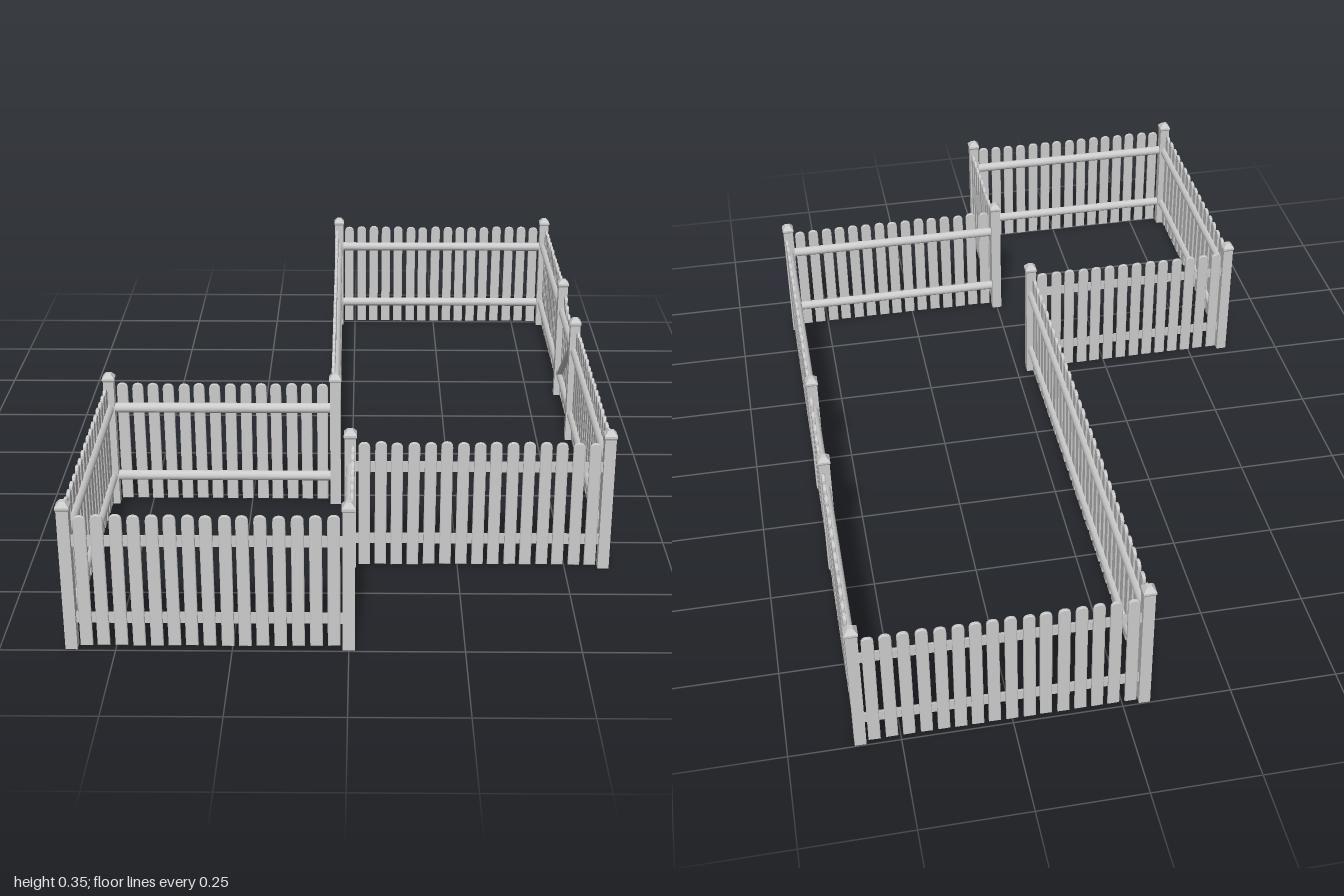
import * as THREE from 'three';

const material = new THREE.MeshStandardMaterial({ color: 0xcccccc, roughness: 0.9 });
const flatMaterial = new THREE.MeshStandardMaterial({ color: 0xcccccc, roughness: 0.9, flatShading: true });

// Fence corners and gate posts [x, z], walked so that pickets face outwards
const POSTS = [
  [-0.595, 0.983], [0, 0.983], [0, 0.617], [0.59, 0.617], [0.59, -0.105],
  [0.59, -0.415], [0.59, -0.985], [-0.05, -0.985], [-0.04, 0.288], [-0.595, 0.288],
];
const GATE = 4;
const POST_W = 0.026, RAIL_H = 0.026;
const PICKET_W = 0.027, PICKET_Y = 0.008, PICKET_TOP = 0.32, PITCH = 0.0385;
const RAIL_HEIGHTS = [0.073, 0.257];

let seed = 7;
function rand() {
  seed = (seed * 16807) % 2147483647;
  return seed / 2147483647 - 0.5;
}

function add(parent, name, geometry, mat, x, y, z) {
  const mesh = new THREE.Mesh(geometry, mat);
  mesh.name = name;
  mesh.position.set(x, y, z);
  parent.add(mesh);
  return mesh;
}

// Board with a rounded top, slightly bevelled; centred in x and z, standing on y = 0
function picketGeometry(height) {
  const bevel = 0.0015, w = PICKET_W / 2 - bevel, h = height - bevel, r = 0.012;
  const s = new THREE.Shape();
  s.moveTo(-w, bevel);
  s.lineTo(w, bevel);
  s.lineTo(w, h - r);
  s.bezierCurveTo(w, h - r * 0.35, w * 0.65, h, 0, h);
  s.bezierCurveTo(-w * 0.65, h, -w, h - r * 0.35, -w, h - r);
  s.closePath();
  const g = new THREE.ExtrudeGeometry(s, {
    depth: 0.005, curveSegments: 4, bevelEnabled: true,
    bevelSize: bevel, bevelThickness: bevel, bevelSegments: 1,
  });
  return g.translate(0, 0, -0.0025);
}

// Half-round rail along x, flat side towards +z
function railGeometry(length) {
  const r = RAIL_H / 2, s = new THREE.Shape();
  s.absarc(0, 0, r, Math.PI / 2, Math.PI * 1.5, false);
  s.closePath();
  const g = new THREE.ExtrudeGeometry(s, { depth: length, curveSegments: 8, bevelEnabled: false });
  // profile x becomes z, extrusion becomes x
  return g.translate(0, 0, -length / 2).rotateY(-Math.PI / 2).rotateX(0).scale(-1, 1, 1).scale(-1, 1, 1);
}

// Square post with an overhanging, shallow pyramid cap
function createPost(x, z) {
  const post = new THREE.Group();
  post.name = 'post';
  post.position.set(x, 0, z);
  add(post, 'postShaft', new THREE.BoxGeometry(POST_W, 0.332, POST_W), flatMaterial, 0, 0.166, 0);
  const square = (top, bottom, h) =>
    new THREE.CylinderGeometry(top * Math.SQRT1_2, bottom * Math.SQRT1_2, h, 4).rotateY(Math.PI / 4);
  add(post, 'capUnderside', square(0.03, POST_W, 0.004), flatMaterial, 0, 0.332, 0);
  add(post, 'capSlab', square(0.03, 0.03, 0.005), flatMaterial, 0, 0.3365, 0);
  add(post, 'capTop', square(0.012, 0.03, 0.011), flatMaterial, 0, 0.3445, 0);
  return post;
}

// Panel from post a to post b; local x runs along it, local +z is the outside
function createPanel(a, b, isGate) {
  const dx = b[0] - a[0], dz = b[1] - a[1], length = Math.hypot(dx, dz);
  const panel = new THREE.Group();
  panel.name = isGate ? 'gate' : 'fencePanel';
  panel.position.set((a[0] + b[0]) / 2, 0, (a[1] + b[1]) / 2);
  panel.rotation.y = Math.atan2(-dz, dx);

  const clear = length - POST_W - (isGate ? 0.008 : 0);
  const count = Math.round(clear / PITCH), pitch = clear / count;
  for (let i = 0; i < count; i++) {
    const x = (i + 0.5) * pitch - clear / 2;
    const u = (2 * x) / clear;
    // gate tops sag in the middle
    const top = PICKET_TOP - (isGate ? 0.035 * (1 - u * u) : 0) + rand() * 0.003;
    const picket = add(panel, 'picket', picketGeometry(top - PICKET_Y), material,
      x + rand() * 0.002, PICKET_Y + rand() * 0.002, 0.006);
    picket.rotation.z = rand() * 0.008;
    picket.rotation.y = rand() * 0.06;
  }

  const railLength = isGate ? clear : length - POST_W * 0.8;
  for (const y of RAIL_HEIGHTS) add(panel, 'rail', railGeometry(railLength), material, 0, y, 0.003);

  // diagonal brace on the inside of the gate
  if (isGate) {
    const rise = RAIL_HEIGHTS[0] - RAIL_HEIGHTS[1], run = clear - 0.03;
    const brace = add(panel, 'gateBrace', railGeometry(Math.hypot(run, rise)), material,
      0, (RAIL_HEIGHTS[0] + RAIL_HEIGHTS[1]) / 2, 0.003);
    brace.scale.y = 0.8;
    brace.rotation.z = Math.atan2(rise, run);
  }
  return panel;
}

export function createModel() {
  const fence = new THREE.Group();
  fence.name = 'picketFence';
  POSTS.forEach((p, i) => {
    fence.add(createPost(p[0], p[1]));
    fence.add(createPanel(p, POSTS[(i + 1) % POSTS.length], i === GATE));
  });
  return fence;
}
